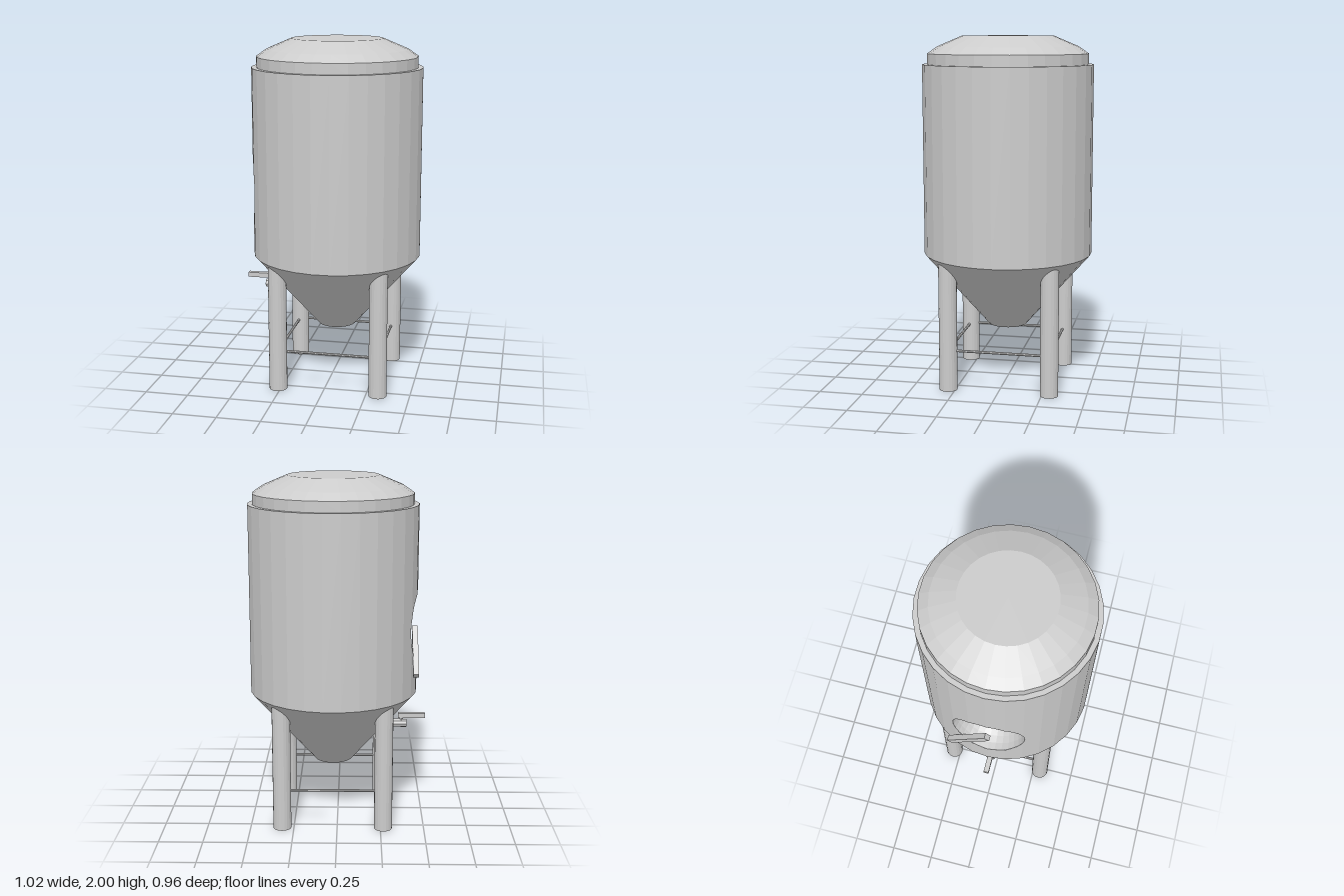
import * as THREE from 'three';

const SIDES = 30, R = 0.485, CX = 0.026;          // tank polygon and its axis
const WALL_BOTTOM = 0.76, WALL_TOP = 1.84;
const BOWL_R = 0.212, BOWL_X = -R, BOWL_Y = 1.145; // spherical recess in the -x wall
const STEP = (Math.PI * 2) / SIDES;

const steel = new THREE.MeshStandardMaterial({ color: 0xcccccc, flatShading: true });
const thinSteel = new THREE.MeshStandardMaterial({ color: 0xcccccc, flatShading: true, side: THREE.DoubleSide });

function add(parent, name, geometry, x = 0, y = 0, z = 0, material = steel) {
  const mesh = new THREE.Mesh(geometry, material);
  mesh.name = name;
  mesh.position.set(x, y, z);
  parent.add(mesh);
  return mesh;
}

function lathe(points) {
  return new THREE.LatheGeometry(points.map(([r, y]) => new THREE.Vector2(r, y)), SIDES, Math.PI / 2);
}

function fromQuads(quads) {
  const positions = quads.flatMap(([a, b, c, d]) => [a, b, c, a, c, d].flat());
  const geometry = new THREE.BufferGeometry();
  geometry.setAttribute('position', new THREE.Float32BufferAttribute(positions, 3));
  geometry.computeVertexNormals();
  return geometry;
}

// x of the faceted wall on the -x side at a given z
function wallX(z) {
  const k = Math.floor(Math.asin(z / R) / STEP);
  const z0 = R * Math.sin(k * STEP), z1 = R * Math.sin((k + 1) * STEP);
  const t = (z - z0) / (z1 - z0);
  return -R * THREE.MathUtils.lerp(Math.cos(k * STEP), Math.cos((k + 1) * STEP), t);
}

// polar angle at which the bowl meets the wall, for a direction around the rim
function rimAngle(phi) {
  let theta = Math.PI / 2;
  for (let i = 0; i < 15; i++) {
    theta = Math.acos((wallX(BOWL_R * Math.sin(theta) * Math.sin(phi)) - BOWL_X) / BOWL_R);
  }
  return theta;
}

// Six wall facets with the round opening cut out, as narrow columns
function openingWall() {
  const zMax = BOWL_R * Math.sin(rimAngle(Math.PI / 2));
  const zs = [];
  for (let k = -3; k <= 3; k++) zs.push(R * Math.sin(k * STEP));
  for (let i = 0; i <= 31; i++) zs.push(-zMax * Math.cos((i / 31) * Math.PI));
  zs.sort((a, b) => a - b);
  const columns = zs.map((z) => {
    const x = z <= zs[0] || z >= zs[zs.length - 1] ? -R * Math.cos(3 * STEP) : wallX(z);
    const h = Math.abs(z) < zMax - 1e-6
      ? Math.sqrt(Math.max(0, BOWL_R ** 2 - z ** 2 - (x - BOWL_X) ** 2)) : 0;
    return [WALL_BOTTOM, BOWL_Y - h, BOWL_Y + h, WALL_TOP].map((y) => [x, y, z]);
  });
  const quads = [];
  for (let i = 0; i + 1 < columns.length; i++) {
    const a = columns[i], b = columns[i + 1];
    if (b[0][2] - a[0][2] < 1e-6) continue;
    quads.push([a[0], b[0], b[1], a[1]], [a[2], b[2], b[3], a[3]]);
  }
  return fromQuads(quads);
}

// Concave bowl running from the cut rim to its deepest point
function bowl() {
  const around = 32, rings = 8, quads = [];
  const point = (i, j) => {
    const phi = (i / around) * Math.PI * 2;
    const theta = rimAngle(phi) * (1 - j / rings);
    return [
      BOWL_X + BOWL_R * Math.cos(theta),
      BOWL_Y + BOWL_R * Math.sin(theta) * Math.cos(phi),
      BOWL_R * Math.sin(theta) * Math.sin(phi),
    ];
  };
  for (let i = 0; i < around; i++) {
    for (let j = 0; j < rings; j++) {
      quads.push([point(i, j), point(i, j + 1), point(i + 1, j + 1), point(i + 1, j)]);
    }
  }
  return fromQuads(quads);
}

export function createModel() {
  const model = new THREE.Group();
  model.name = 'conicalTank';

  // Everything shares the tank axis
  const tank = new THREE.Group();
  tank.name = 'tank';
  tank.position.x = CX;
  model.add(tank);

  // Body
  const wallHeight = WALL_TOP - WALL_BOTTOM;
  add(tank, 'wall', new THREE.CylinderGeometry(R, R, wallHeight, SIDES - 6, 1, true,
    Math.PI * 1.5 + 3 * STEP, (SIDES - 6) * STEP), 0, (WALL_TOP + WALL_BOTTOM) / 2, 0);
  add(tank, 'openingWall', openingWall(), 0, 0, 0, thinSteel);
  add(tank, 'hatchBowl', bowl(), 0, 0, 0, thinSteel);
  add(tank, 'lid', lathe([[R, WALL_TOP], [0.457, WALL_TOP], [0.457, 1.9], [0.4, 1.94], [0.258, 2], [0, 2]]));
  add(tank, 'coneBottom', lathe([[0, 0.33], [0.11, 0.33], [R, WALL_BOTTOM]]));

  // Legs and the square of braces between them
  const legOffset = 0.291, legHeight = 0.79;
  for (let i = 0; i < 4; i++) {
    const side = new THREE.Group();
    side.name = 'legAndBrace';
    side.rotation.y = (i * Math.PI) / 2;
    tank.add(side);
    add(side, 'leg', new THREE.CylinderGeometry(0.052, 0.052, legHeight, 20), legOffset, legHeight / 2, legOffset);
    const brace = add(side, 'brace', new THREE.CylinderGeometry(0.008, 0.008, legOffset * 2, 8), 0, 0.23, legOffset);
    brace.rotation.z = Math.PI / 2;
  }

  // Slanted hatch handle
  const handle = add(model, 'hatchHandle', new THREE.BoxGeometry(0.032, 0.32, 0.04), -0.444, 1.01, -0.113);
  handle.rotation.x = Math.PI / 4;

  // Outlet pipe with its valve lever
  const pipe = add(model, 'outletPipe', new THREE.CylinderGeometry(0.025, 0.025, 0.2, 8), -0.305, 0.542, 0);
  pipe.rotation.z = Math.PI / 2;
  add(model, 'valveStem', new THREE.CylinderGeometry(0.01, 0.01, 0.04, 8), -0.375, 0.57, 0);
  add(model, 'valveLever', new THREE.BoxGeometry(0.158, 0.028, 0.03), -0.434, 0.591, 0);

  return model;
}
